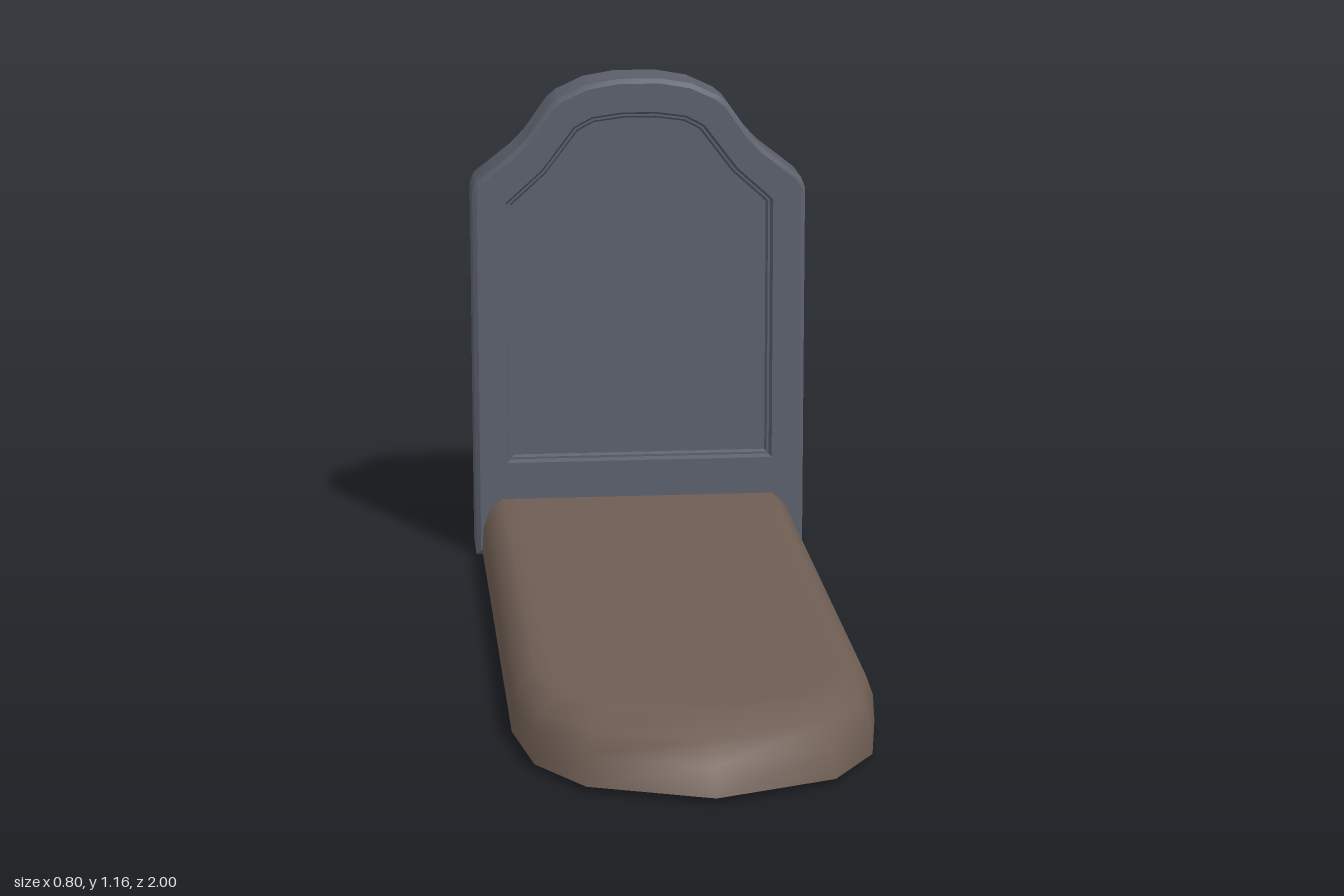
import * as THREE from 'three';
import { toCreasedNormals } from 'three/addons/utils/BufferGeometryUtils.js';

// Join equal-length counterclockwise rings of [x, y, z] and close both ends with fans.
function loft(rings, crease) {
  const pos = [], tri = (...p) => p.forEach((q) => pos.push(...q));
  const n = rings[0].length;
  const centre = (ring) => {
    const box = new THREE.Box3().setFromPoints(ring.map((p) => new THREE.Vector3(...p)));
    return box.getCenter(new THREE.Vector3()).toArray();
  };
  const first = rings[0], last = rings[rings.length - 1];
  const c0 = centre(first), c1 = centre(last);
  for (let i = 0; i < n; i++) {
    const j = (i + 1) % n;
    for (let k = 0; k + 1 < rings.length; k++) {
      const a = rings[k], b = rings[k + 1];
      tri(a[i], a[j], b[j]);
      tri(a[i], b[j], b[i]);
    }
    tri(c0, first[j], first[i]);
    tri(c1, last[i], last[j]);
  }
  const geo = new THREE.BufferGeometry();
  geo.setAttribute('position', new THREE.Float32BufferAttribute(pos, 3));
  return toCreasedNormals(geo, crease);
}

// Mirror a right-hand half outline across x = 0.
const mirror = (half) => [...half, ...half.map(([x, y]) => [-x, y]).reverse()];

// Move every edge of a counterclockwise outline inwards by d.
function inset(pts, d) {
  const n = pts.length;
  const normal = (a, b) => {
    const dx = b[0] - a[0], dy = b[1] - a[1], l = Math.hypot(dx, dy);
    return [-dy / l, dx / l];
  };
  return pts.map((p, i) => {
    const u = normal(pts[(i + n - 1) % n], p), v = normal(p, pts[(i + 1) % n]);
    const k = d / (1 + u[0] * v[0] + u[1] * v[1]);
    return [p[0] + (u[0] + v[0]) * k, p[1] + (u[1] + v[1]) * k];
  });
}

const atDepth = (pts, z) => pts.map(([x, y]) => [x, y, z]);

export function createModel() {
  const stone = new THREE.MeshStandardMaterial({ color: 0x5a5f6b });
  stone.name = 'slate stone';
  const earth = new THREE.MeshStandardMaterial({ color: 0x6e5d53 });
  earth.name = 'brown earth';

  const model = new THREE.Group();
  model.name = 'grave';
  const add = (name, geometry, material) => {
    const mesh = new THREE.Mesh(geometry, material);
    mesh.name = name;
    model.add(mesh);
    return mesh;
  };

  // Headstone: bevelled slab with a stepped, sunken front panel
  const outline = mirror([
    [0.4, 0], [0.4, 0.895], [0.39, 0.92], [0.3, 0.99], [0.268, 1.023],
    [0.212, 1.102], [0.19, 1.12], [0.125, 1.15], [0.05, 1.163],
  ]);
  const panel = mirror([
    [0.322, 0.23], [0.322, 0.868], [0.312, 0.878], [0.237, 0.945], [0.222, 0.964],
    [0.157, 1.05], [0.14, 1.06], [0.112, 1.074], [0.04, 1.084],
  ]);
  const back = -1, front = -0.835, bevel = 0.011;
  add('headstone', loft([
    atDepth(inset(outline, bevel), back),
    atDepth(outline, back + bevel),
    atDepth(outline, front - bevel),
    atDepth(inset(outline, bevel), front),
    atDepth(panel, front),
    atDepth(inset(panel, 0.006), front - 0.012),
    atDepth(inset(panel, 0.011), front - 0.012),
    atDepth(inset(panel, 0.016), front - 0.02),
  ], 0.55), stone);

  // Grave mound: rounded bed whose front end tapers to a blunt point
  const bed = [
    [0.38, -0.55], [0.38, 0.86], [-0.38, 0.86], [-0.38, -0.55],
    [-0.345, -0.76], [-0.25, -0.905], [0, -0.998], [0.25, -0.905], [0.345, -0.76],
  ];
  // Height, side inset and nose inset of each layer
  const layers = [
    [0.012, 0, 0], [0.07, 0.004, 0.022], [0.112, 0.019, 0.07], [0.14, 0.05, 0.158], [0.14, 0.09, 0.2],
  ];
  const mound = loft(layers.map(([h, side, nose]) => bed.map(([x, y]) => [
    x * (1 - side / 0.38) - 0.006,
    y > 0 ? y : -0.55 + (y + 0.55) * (1 - nose / 0.448),
    h,
  ])), 0.9);
  mound.rotateX(-Math.PI / 2);
  add('graveMound', mound, earth);

  return model;
}
